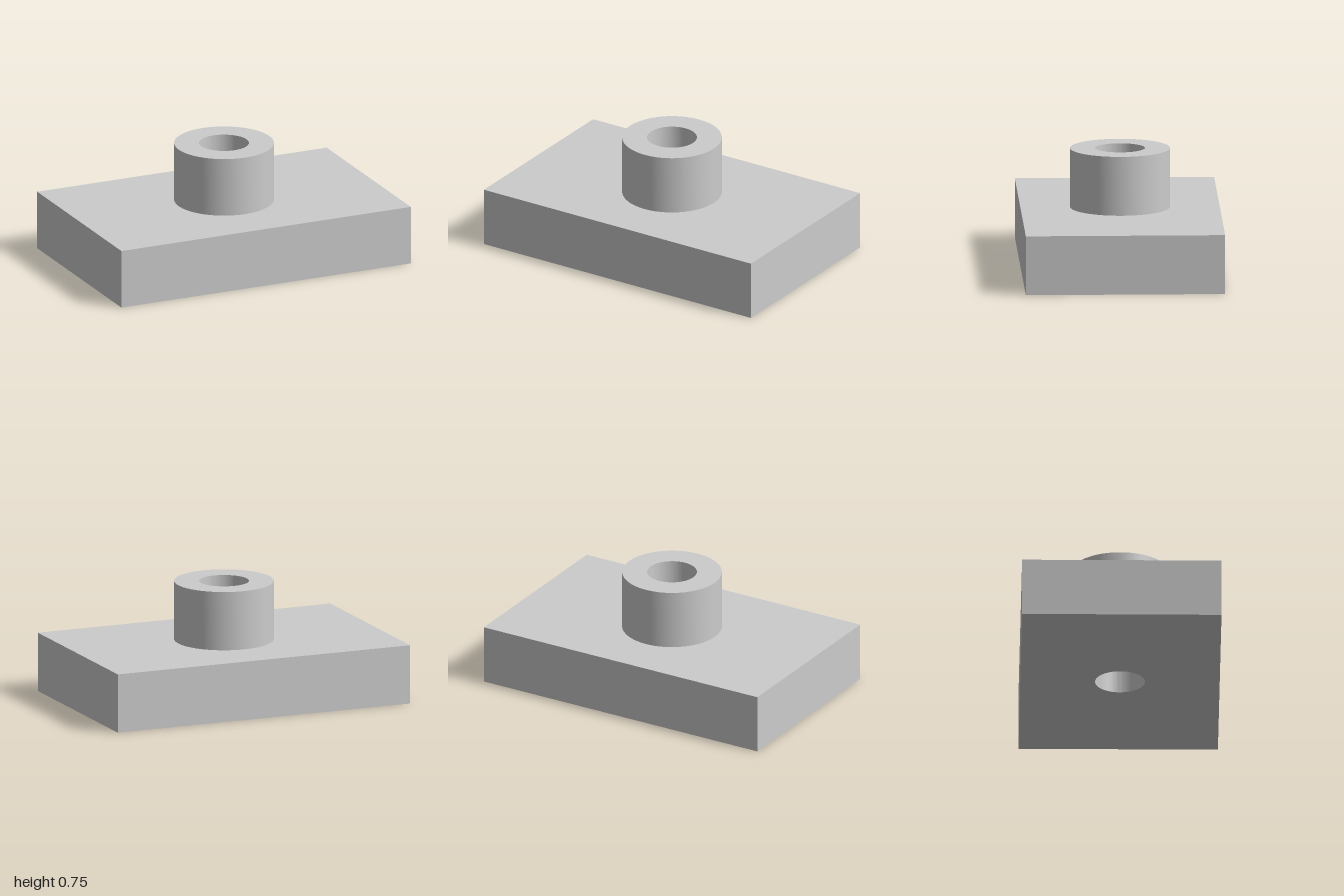
import * as THREE from 'three';
import { toCreasedNormals } from 'three/addons/utils/BufferGeometryUtils.js';

const LENGTH = 2, DEPTH = 1.25, PLATE_TOP = 0.375, BOSS_TOP = 0.75;
const BOSS_RADIUS = 0.3125, BORE_RADIUS = 0.15625;

// Extrude an outline upward from y0 to y1, with the central bore cut through it
function boredSolid(name, outline, y0, y1, material) {
  outline.holes.push(new THREE.Path().absarc(0, 0, BORE_RADIUS, 0, Math.PI * 2, true));
  const extruded = new THREE.ExtrudeGeometry(outline, { depth: y1 - y0, bevelEnabled: false, curveSegments: 64 });
  extruded.rotateX(-Math.PI / 2);
  extruded.translate(0, y0, 0);
  const mesh = new THREE.Mesh(toCreasedNormals(extruded, Math.PI / 6), material);
  mesh.name = name;
  return mesh;
}

export function createModel() {
  const group = new THREE.Group();
  group.name = 'boredMountingBlock';
  const grey = new THREE.MeshStandardMaterial({ color: 0xcccccc });
  grey.name = 'plain grey';

  // Rectangular base plate
  const x = LENGTH / 2, z = DEPTH / 2;
  const rectangle = new THREE.Shape([
    new THREE.Vector2(-x, -z), new THREE.Vector2(x, -z),
    new THREE.Vector2(x, z), new THREE.Vector2(-x, z),
  ]);
  group.add(boredSolid('basePlate', rectangle, 0, PLATE_TOP, grey));

  // Round boss standing on the plate, sharing the through bore
  const circle = new THREE.Shape().absarc(0, 0, BOSS_RADIUS, 0, Math.PI * 2, false);
  group.add(boredSolid('boss', circle, PLATE_TOP, BOSS_TOP, grey));

  return group;
}
